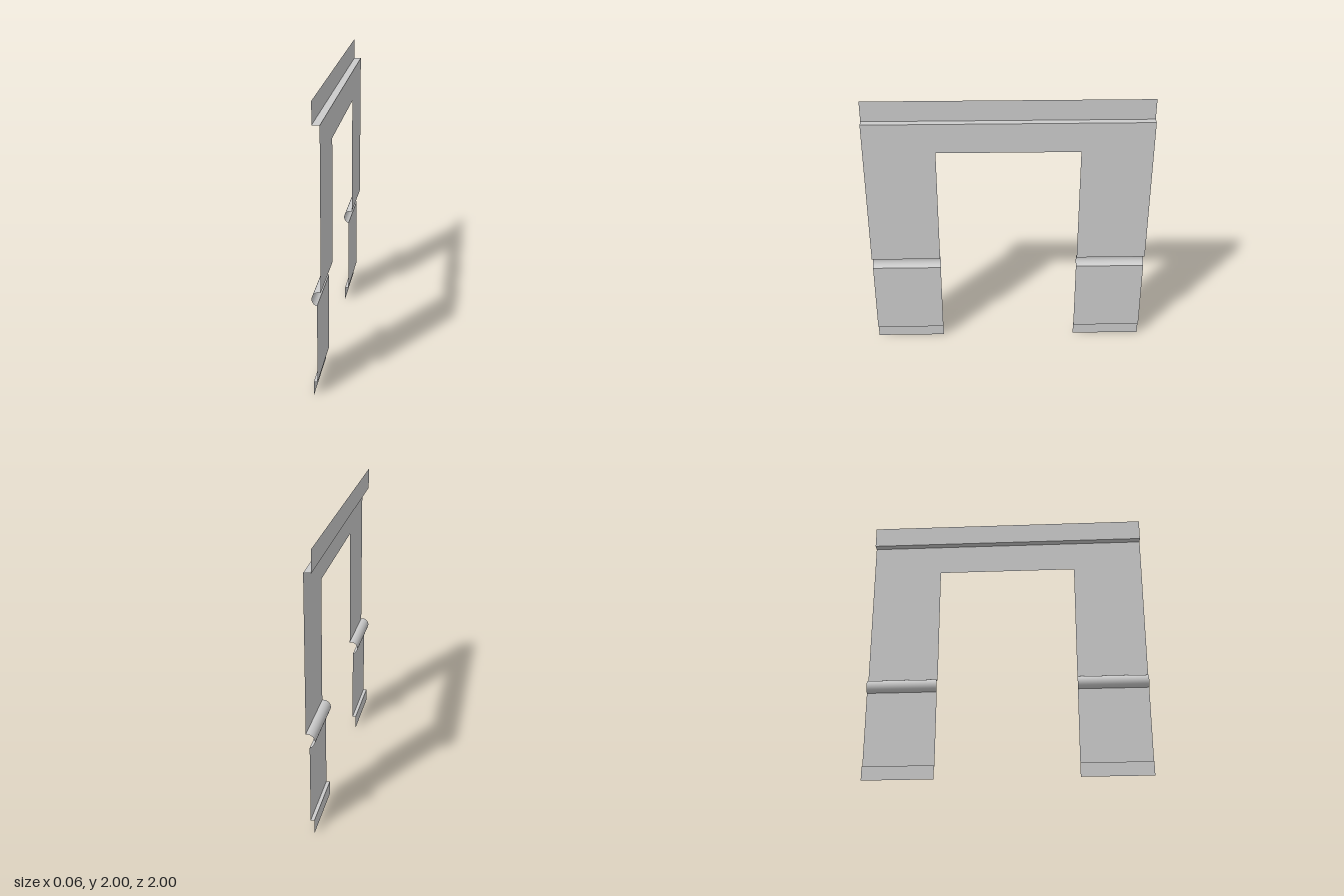
import * as THREE from 'three';

// x positions of the folded sheet, from back to front
const BACK = -0.02, LOWER = 0.005, FRONT = 0.03;
// groove circle in the x-y plane
const GX = 0.02, GY = 0.7, GR = 0.05;

export function createModel() {
  const group = new THREE.Group();
  const material = new THREE.MeshStandardMaterial({ color: 0xcccccc, side: THREE.DoubleSide });

  const add = (name, geometry, x, y, z) => {
    const mesh = new THREE.Mesh(geometry, material);
    mesh.name = name;
    mesh.position.set(x, y, z);
    group.add(mesh);
  };
  // upright strip facing +x
  const wall = (name, x, y0, y1, z, length) =>
    add(name, new THREE.PlaneGeometry(length, y1 - y0).rotateY(Math.PI / 2), x, (y0 + y1) / 2, z);
  // level strip facing up
  const ledge = (name, x0, x1, y, z, length) =>
    add(name, new THREE.PlaneGeometry(x1 - x0, length).rotateX(-Math.PI / 2), (x0 + x1) / 2, y, z);

  // groove end angles, measured from straight up towards +x
  const top = Math.asin((FRONT - GX) / GR);
  const bottom = -Math.PI + Math.asin((GX - LOWER) / GR);
  const grooveTop = GY + GR * Math.cos(top);
  const grooveBottom = GY + GR * Math.cos(bottom);

  // top flange and the ledge in front of it
  wall('topFlange', BACK, 1.85, 2, 0, 2);
  ledge('topLedge', BACK, FRONT, 1.85, 0, 2);

  // main panel with the doorway cut out
  const outline = [
    [-1, grooveTop], [-0.5, grooveTop], [-0.5, 1.63], [0.5, 1.63],
    [0.5, grooveTop], [1, grooveTop], [1, 1.85], [-1, 1.85],
  ].map(([u, v]) => new THREE.Vector2(u, v));
  add('mainPanel', new THREE.ShapeGeometry(new THREE.Shape(outline)).rotateY(Math.PI / 2), FRONT, 0, 0);

  // each leg: rounded groove, lower panel, step and base strip
  for (const [side, z] of [['front', 0.75], ['back', -0.75]]) {
    const groove = new THREE.CylinderGeometry(GR, GR, 0.5, 20, 1, true, bottom, top - bottom);
    add(side + 'Groove', groove.rotateX(-Math.PI / 2), GX, GY, z);
    wall(side + 'LowerPanel', LOWER, 0.1, grooveBottom, z, 0.5);
    ledge(side + 'BaseStep', BACK, LOWER, 0.1, z, 0.5);
    wall(side + 'BaseStrip', BACK, 0, 0.1, z, 0.5);
  }
  return group;
}
